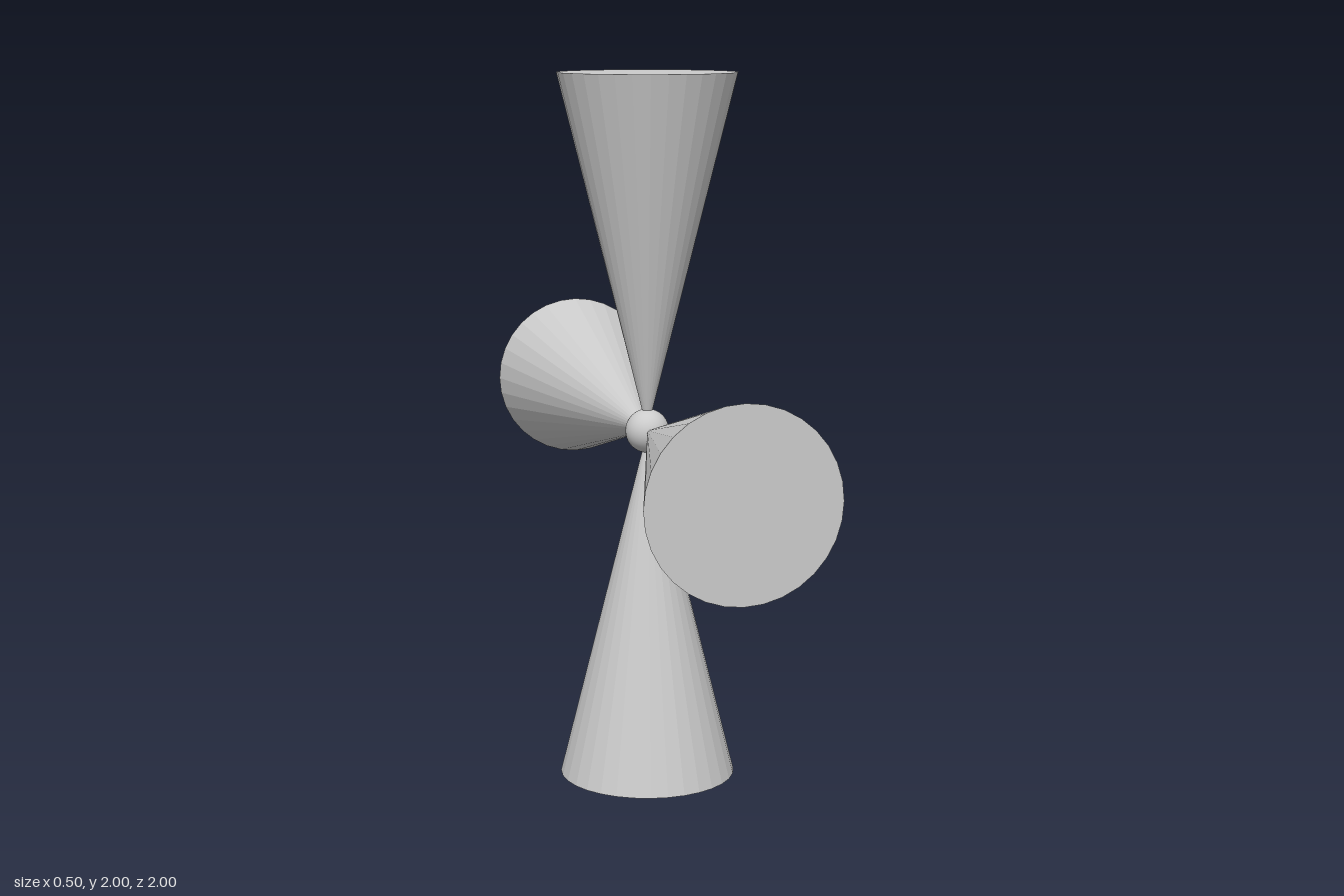
import * as THREE from 'three';

export function createModel() {
  const model = new THREE.Group();
  const smooth = new THREE.MeshStandardMaterial({ color: 0xcccccc });
  const faceted = new THREE.MeshStandardMaterial({ color: 0xcccccc, flatShading: true });

  // Small ball where the four tips meet
  const hub = new THREE.Mesh(new THREE.SphereGeometry(0.062, 32, 20), smooth);
  hub.name = 'hub';
  hub.position.y = 1;
  model.add(hub);

  // Four cones in the YZ plane, tips at the hub centre, bases outward
  const coneGeometry = new THREE.ConeGeometry(0.25, 1, 32).translate(0, -0.5, 0);
  ['bottomCone', 'backCone', 'topCone', 'frontCone'].forEach((name, i) => {
    const cone = new THREE.Mesh(coneGeometry, faceted);
    cone.name = name;
    cone.position.y = 1;
    cone.rotation.x = i * Math.PI / 2;
    model.add(cone);
  });

  return model;
}
